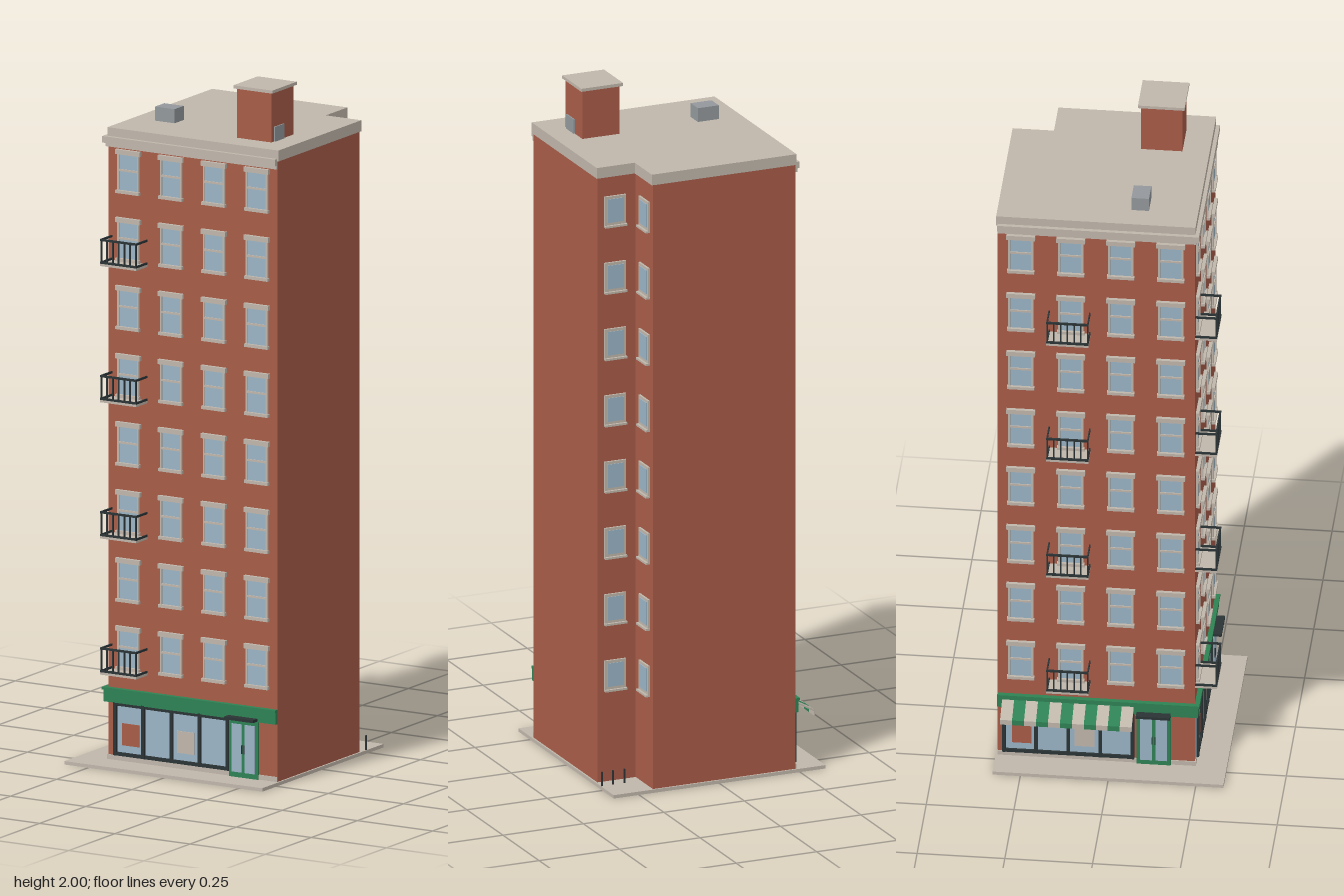
import * as THREE from 'three';

const paint = (name, color) => {
  const m = new THREE.MeshStandardMaterial({ color });
  m.name = name;
  return m;
};

export function createModel() {
  const brick = paint('brick', 0xa85c48);
  const stone = paint('stone', 0xc0b7ab);
  const green = paint('shop green', 0x2e8254);
  const dark = paint('dark metal', 0x2b3335);
  const glass = paint('glass', 0x9bb4c6);
  const grey = paint('grey metal', 0x93989c);

  const model = new THREE.Group();
  model.name = 'apartmentBuilding';

  const group = (parent, name) => {
    const g = new THREE.Group();
    g.name = name;
    parent.add(g);
    return g;
  };
  // Box given by its min and max on each axis
  const box = (parent, name, mat, x0, x1, y0, y1, z0, z1) => {
    const mesh = new THREE.Mesh(new THREE.BoxGeometry(x1 - x0, y1 - y0, z1 - z0), mat);
    mesh.position.set((x0 + x1) / 2, (y0 + y1) / 2, (z0 + z1) / 2);
    mesh.name = name;
    parent.add(mesh);
  };

  // Square footprint with the back left corner cut out
  const footprint = (name, mat, street, party, notch, y0, y1) => {
    const s = new THREE.Shape([
      [-street, -street], [party, -street], [party, notch],
      [notch, notch], [notch, party], [-street, party],
    ].map(([x, y]) => new THREE.Vector2(x, y)));
    const geo = new THREE.ExtrudeGeometry(s, { depth: y1 - y0, bevelEnabled: false });
    geo.rotateX(-Math.PI / 2).translate(0, y0, 0);
    const mesh = new THREE.Mesh(geo, mat);
    mesh.name = name;
    model.add(mesh);
  };

  const WALL = 0.238, PARTY = 0.324, NOTCH = 0.205, FLOOR = 0.198;
  box(model, 'pavement', stone, -0.329, 0.329, 0, 0.01, -0.329, 0.329);
  footprint('walls', brick, WALL, PARTY, NOTCH, 0.01, 1.815);
  footprint('roof', stone, 0.24, 0.328, 0.21, 1.815, 1.847);

  // Wall groups: local x runs along the wall, local z points outward from it
  const wall = (name, turn, dist) => {
    const pivot = group(model, name);
    pivot.rotation.y = turn;
    const g = group(pivot, name + 'Details');
    g.position.z = dist;
    return g;
  };

  // Sash window with lintel and sill
  const sashWindow = (parent, u, y) => {
    const g = group(parent, 'window');
    g.position.set(u, y, 0);
    box(g, 'windowGlass', glass, -0.031, 0.031, 0.284, 0.39, 0, 0.003);
    for (const s of [-1, 1]) box(g, 'windowJamb', stone, s * 0.033 - 0.003, s * 0.033 + 0.003, 0.284, 0.39, 0, 0.006);
    box(g, 'meetingRail', stone, -0.031, 0.031, 0.339, 0.345, 0, 0.006);
    box(g, 'lintel', stone, -0.041, 0.041, 0.388, 0.402, 0, 0.01);
    box(g, 'sill', stone, -0.039, 0.039, 0.275, 0.284, 0, 0.011);
  };

  // Balcony with posts, pickets and rails
  const balcony = (parent, u, y) => {
    const g = group(parent, 'balcony');
    g.position.set(u, y, 0);
    const w = 0.06, d = 0.062;
    box(g, 'balconyFloor', stone, -w, w, 0.268, 0.275, 0, d);
    for (const yy of [0.275, 0.341]) {
      box(g, 'frontRail', dark, -w, w, yy, yy + 0.006, d - 0.005, d);
      for (const s of [-1, 1]) box(g, 'sideRail', dark, s * (w - 0.002) - 0.002, s * (w - 0.002) + 0.002, yy, yy + 0.006, 0, d);
    }
    for (let i = 0; i <= 6; i++) {
      const x = (i / 6 - 0.5) * (2 * w - 0.005);
      box(g, 'picket', dark, x - 0.002, x + 0.002, 0.275, 0.345, d - 0.0045, d - 0.0005);
    }
  };

  // Shop window with four panes between dark bars
  const shopWindow = (parent, u0, u1) => {
    const g = group(parent, 'shopWindow');
    box(g, 'shopGlass', glass, u0, u1, 0.025, 0.178, 0, 0.003);
    for (const y of [0.025, 0.17]) box(g, 'shopFrameRail', dark, u0, u1, y, y + 0.01, 0, 0.009);
    const step = (u1 - u0 - 0.01) / 4;
    for (let i = 0; i <= 4; i++) box(g, 'shopMullion', dark, u0 + i * step, u0 + i * step + 0.01, 0.025, 0.18, 0, 0.01);
    box(g, 'shopPoster', brick, u0 + 0.027, u0 + 0.083, 0.056, 0.12, 0.003, 0.005);
    box(g, 'shopPoster', stone, u0 + 2 * step + 0.022, u0 + 2 * step + 0.08, 0.056, 0.12, 0.003, 0.005);
  };

  // Double door under a flat canopy
  const door = (parent, u0, u1) => {
    const g = group(parent, 'door');
    const mid = (u0 + u1) / 2;
    box(g, 'doorPanel', green, u0, u1, 0.01, 0.18, 0, 0.008);
    box(g, 'doorGlass', glass, u0 + 0.01, mid - 0.005, 0.025, 0.165, 0.008, 0.01);
    box(g, 'doorGlass', glass, mid + 0.005, u1 - 0.01, 0.025, 0.165, 0.008, 0.01);
    for (const s of [-1, 1]) box(g, 'doorHandle', dark, mid + s * 0.004 - 0.001, mid + s * 0.004 + 0.001, 0.08, 0.105, 0.008, 0.012);
    box(g, 'doorCanopy', dark, u0, u1, 0.18, 0.188, 0, 0.034);
  };

  // Street facade; `end` is the side of the shared street corner (-1 or 1)
  const facade = (name, turn, end, shop, doorway, balconyAt) => {
    const g = wall(name, turn, WALL);
    const span = (p) => (end < 0 ? [-WALL - p, PARTY] : [-PARTY, WALL + p]);
    box(g, 'plinth', stone, ...span(0.003), 0.01, 0.024, 0, 0.003);
    box(g, 'shopFascia', green, ...span(0.01), 0.178, 0.213, 0, 0.01);
    box(g, 'shopFasciaCap', green, ...span(0.014), 0.213, 0.22, 0, 0.014);
    box(g, 'lowerCornice', stone, ...span(0.006), 1.792, 1.803, 0, 0.006);
    box(g, 'cornice', stone, ...span(0.013), 1.803, 1.822, 0, 0.013);
    shopWindow(g, ...shop);
    door(g, ...doorway);
    for (let floor = 0; floor < 8; floor++) {
      for (let c = 0; c < 4; c++) sashWindow(g, -end * (-0.17 + c * 0.1425), floor * FLOOR);
      if (floor % 2 === 0) balcony(g, balconyAt, floor * FLOOR);
    }
    return g;
  };
  facade('frontFacade', 0, -1, [-0.217, 0.167], [0.167, 0.263], -0.168);
  const side = facade('sideFacade', -Math.PI / 2, 1, [-0.31, 0.066], [0.073, 0.17], -0.119);

  // Striped sloping awning over the side shop window
  const awning = group(side, 'awning');
  const profile = new THREE.Shape([[0.008, 0.205], [0.067, 0.172], [0.067, 0.156], [0.064, 0.156], [0.064, 0.169], [0.008, 0.2]]
    .map(([x, y]) => new THREE.Vector2(x, y)));
  const stripe = 0.375 / 11;
  const stripeGeo = new THREE.ExtrudeGeometry(profile, { depth: stripe, bevelEnabled: false });
  stripeGeo.rotateY(-Math.PI / 2);
  for (let i = 0; i < 11; i++) {
    const m = new THREE.Mesh(stripeGeo, i % 2 ? green : stone);
    m.name = 'awningStripe';
    m.position.x = -0.31 + (i + 1) * stripe;
    awning.add(m);
  }

  // Small framed windows in the cut-out corner
  for (const [name, turn, u] of [['notchBackWall', Math.PI, -0.27], ['notchSideWall', Math.PI / 2, 0.27]]) {
    const g = wall(name, turn, NOTCH);
    for (let f = 0; f < 8; f++) {
      const y = 0.285 + f * FLOOR;
      box(g, 'notchWindowFrame', stone, u - 0.033, u + 0.033, y, y + 0.086, 0, 0.006);
      box(g, 'notchWindowGlass', glass, u - 0.025, u + 0.025, y + 0.008, y + 0.078, 0.006, 0.008);
      box(g, 'notchWindowSill', stone, u - 0.034, u + 0.034, y - 0.006, y, 0, 0.013);
    }
  }
  // Short posts at the foot of the notch
  for (const x of [0.256, 0.291, 0.325]) box(model, 'yardPost', dark, x - 0.002, x + 0.002, 0.01, 0.052, -0.242, -0.238);

  // Roof structures
  const hut = group(model, 'roofHut');
  box(hut, 'hutWalls', brick, 0.143, 0.258, 1.847, 1.991, 0.045, 0.163);
  box(hut, 'hutCap', stone, 0.135, 0.265, 1.991, 2.0, 0.037, 0.17);
  box(hut, 'hutDoor', grey, 0.258, 0.262, 1.847, 1.89, 0.098, 0.15);
  box(model, 'ventUnit', grey, -0.168, -0.103, 1.847, 1.888, 0.05, 0.1);

  return model;
}
